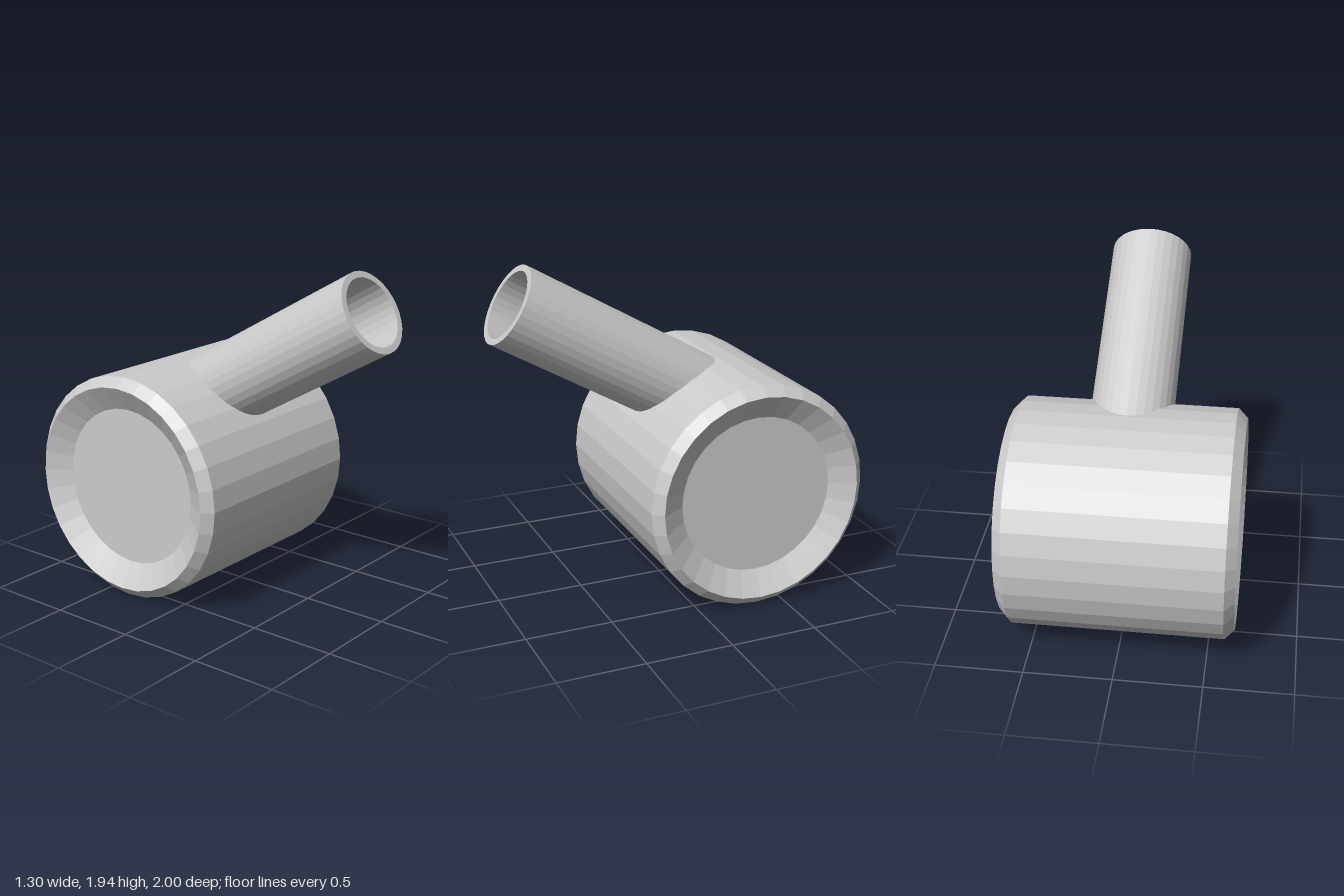
import * as THREE from 'three';

const material = new THREE.MeshStandardMaterial({ color: 0xcccccc, flatShading: true });

// Faceted solid of revolution from [radius, height] pairs
function turned(name, profile) {
  const points = profile.map(([r, h]) => new THREE.Vector2(r, h));
  const mesh = new THREE.Mesh(new THREE.LatheGeometry(points, 32), material);
  mesh.name = name;
  return mesh;
}

export function createModel() {
  const model = new THREE.Group();
  model.name = 'drumWithPipe';

  // Drum lying along x: chamfered rims and dished ends, mirrored
  const half = [[0.65, 0.595], [0.595, 0.65], [0.455, 0.565], [0, 0.565]];
  const mirrored = half.map(([r, h]) => [r, -h]).reverse();
  const drum = turned('drum', [...mirrored, ...half]);
  drum.rotation.z = Math.PI / 2;
  drum.position.set(0, 0.65, -0.35);
  model.add(drum);

  // Hollow pipe rising 30 degrees toward the front, its foot sunk in the drum
  const length = 1.272, foot = -0.05, outer = 0.235, inner = 0.198;
  const pipe = turned('pipe', [[outer, foot], [outer, length], [inner, length], [inner, foot]]);
  pipe.rotation.x = Math.PI / 3;
  pipe.position.set(0, 1.096, -0.218);
  model.add(pipe);

  return model;
}
